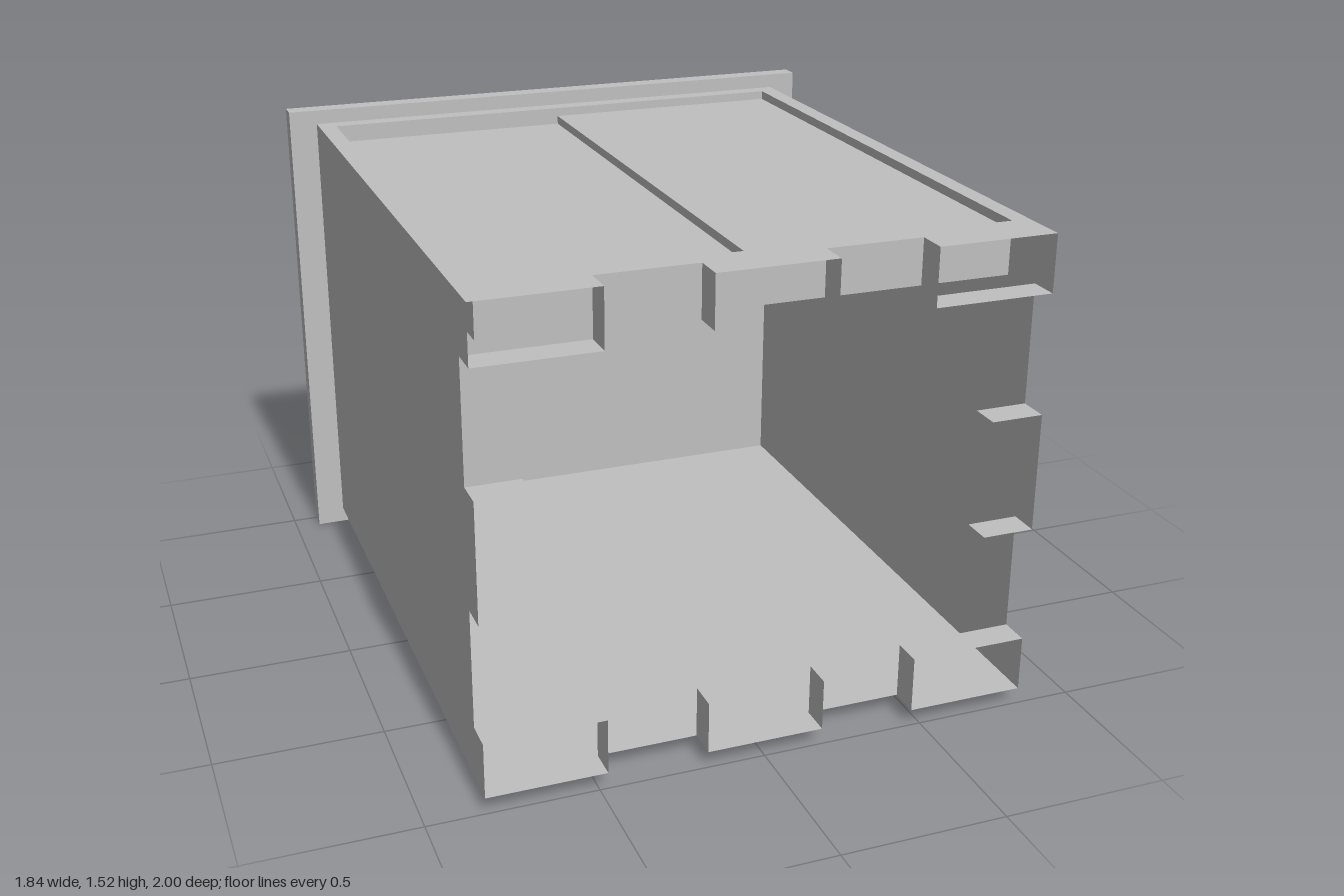
import * as THREE from 'three';

const X = new THREE.Vector3(1, 0, 0);
const Y = new THREE.Vector3(0, 1, 0);
const Z = new THREE.Vector3(0, 0, 1);

// Shell and slot dimensions
const W = 0.83, BOTTOM = 0.05, TOP = 1.478, BACK = -0.94, FRONT = 1, NOTCH = 0.908;
const FLAP = 0.157;
const X_SLOTS = [[-0.475, -0.175], [0.18, 0.47]];
const Y_SLOTS = [[0.22, 0.582], [0.942, 1.305]];
// Recess in the top
const RX = 0.775, RZ0 = -0.885, RZ1 = 0.853, RY = 1.32;

// Rectangle whose far edge (v1) is cut by slots
function slottedShape(u0, u1, v0, v1, slots = []) {
  const s = new THREE.Shape();
  s.moveTo(u0, v0);
  s.lineTo(u0, v1);
  for (const [a, b] of slots) {
    s.lineTo(a, v1);
    s.lineTo(a, NOTCH);
    s.lineTo(b, NOTCH);
    s.lineTo(b, v1);
  }
  s.lineTo(u1, v1);
  s.lineTo(u1, v0);
  s.closePath();
  return s;
}

export function createModel() {
  const model = new THREE.Group();
  model.name = 'slottedBox';
  const grey = new THREE.MeshStandardMaterial({ color: 0xc0c0c0, side: THREE.DoubleSide });
  grey.name = 'grey';

  // Thin sheet lying in the plane of axes u and v, offset along u x v
  function sheet(name, parent, shape, u, v, offset) {
    const n = u.clone().cross(v);
    const g = new THREE.ShapeGeometry(shape);
    g.translate(0, 0, offset);
    g.applyMatrix4(new THREE.Matrix4().makeBasis(u, v, n));
    const m = new THREE.Mesh(g, grey);
    m.name = name;
    parent.add(m);
  }
  function block(name, x0, x1, y0, y1, z0, z1) {
    const g = new THREE.BoxGeometry(x1 - x0, y1 - y0, z1 - z0);
    g.translate((x0 + x1) / 2, (y0 + y1) / 2, (z0 + z1) / 2);
    const m = new THREE.Mesh(g, grey);
    m.name = name;
    model.add(m);
  }
  function group(name) {
    const g = new THREE.Group();
    g.name = name;
    model.add(g);
    return g;
  }

  // Back plate
  block('backPlate', -0.92, 0.92, 0, 1.524, -1, BACK);

  // Open-fronted shell
  const shell = group('shell');
  const sideShape = slottedShape(BOTTOM, TOP, BACK, FRONT, Y_SLOTS);
  sheet('leftWall', shell, sideShape, Y, Z, W);
  sheet('rightWall', shell, sideShape, Y, Z, -W);
  sheet('floor', shell, slottedShape(-W, W, BACK, FRONT, X_SLOTS), X, Z, -BOTTOM);
  const topShape = slottedShape(-W, W, BACK, FRONT, X_SLOTS);
  topShape.holes.push(slottedShape(-RX, RX, RZ0, RZ1));
  sheet('top', shell, topShape, X, Z, -TOP);

  // Inward flaps at the slot edges; the corner ones meet each other
  const flaps = group('slotFlaps');
  const yEdges = Y_SLOTS.flat(), xEdges = X_SLOTS.flat();
  yEdges.forEach((y, i) => {
    const corner = i === 0 || i === 3;
    const l = corner ? xEdges[3] : W - FLAP;
    const r = corner ? xEdges[0] : FLAP - W;
    sheet('sideFlap', flaps, slottedShape(l, W, NOTCH, FRONT), X, Z, -y);
    sheet('sideFlap', flaps, slottedShape(-W, r, NOTCH, FRONT), X, Z, -y);
  });
  xEdges.forEach((x, i) => {
    const corner = i === 0 || i === 3;
    const low = corner ? yEdges[0] : BOTTOM + FLAP;
    const high = corner ? yEdges[3] : TOP - FLAP;
    sheet('bottomFlap', flaps, slottedShape(BOTTOM, low, NOTCH, FRONT), Y, Z, x);
    sheet('topFlap', flaps, slottedShape(high, TOP, NOTCH, FRONT), Y, Z, x);
  });

  // Shallow tray sunk into the top
  const tray = group('tray');
  sheet('trayFloor', tray, slottedShape(-RX, RX, RZ0, RZ1), X, Z, -RY);
  for (const x of [-RX, RX]) sheet('traySide', tray, slottedShape(RY, TOP, RZ0, RZ1), Y, Z, x);
  for (const z of [RZ0, RZ1]) sheet('trayEnd', tray, slottedShape(-RX, RX, RY, TOP), X, Y, z);

  // Two lids, one a step above the other
  block('lowerLid', -RX, 0, 1.395, 1.423, RZ0, 0.842);
  block('upperLid', 0, RX, 1.423, 1.45, RZ0, RZ1);

  return model;
}
